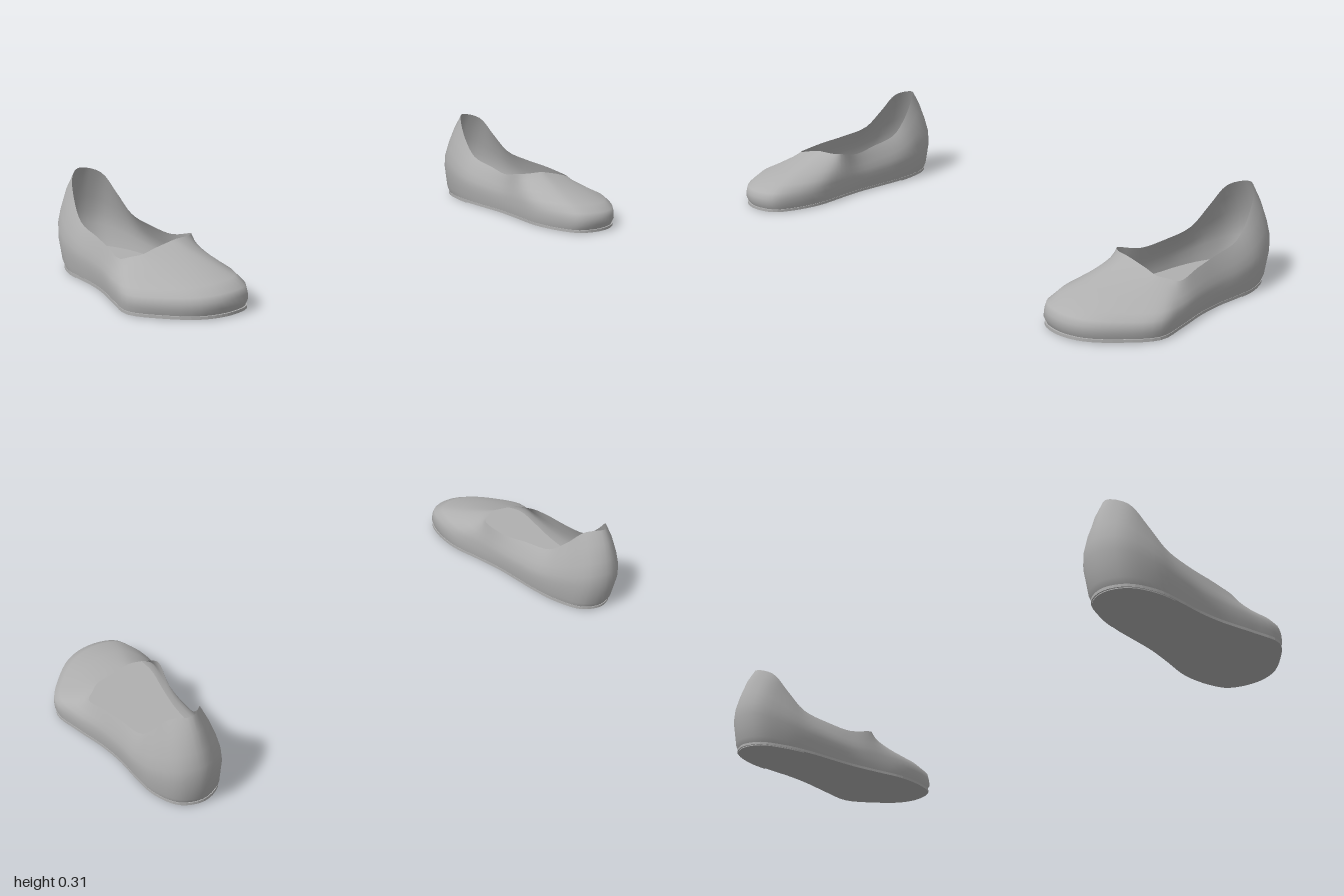
import * as THREE from 'three';

// Control points run toe -> outer side -> heel -> inner side, relative to the shoe's centre line.
// Widest outline of the shoe: x, z
const OUTLINE = [
  [-0.05, 0.42], [0.03, 0.4], [0.11, 0.325], [0.17, 0.23], [0.155, 0.12],
  [0.13, 0], [0.12, -0.1], [0.12, -0.2], [0.112, -0.3], [0.07, -0.39],
  [0, -0.42], [-0.07, -0.39], [-0.112, -0.3], [-0.13, -0.2], [-0.135, -0.1],
  [-0.14, 0], [-0.155, 0.1], [-0.175, 0.22], [-0.162, 0.33], [-0.13, 0.395],
];
// Edge of the foot opening: x, y, z
const RIM = [
  [-0.03, 0.163, 0.127], [0.02, 0.152, 0.129], [0.06, 0.141, 0.13], [0.088, 0.134, 0.11], [0.112, 0.128, 0.09],
  [0.105, 0.145, 0], [0.095, 0.157, -0.09], [0.088, 0.178, -0.2], [0.075, 0.235, -0.267], [0.05, 0.297, -0.322],
  [0, 0.312, -0.365], [-0.05, 0.297, -0.322], [-0.075, 0.235, -0.267], [-0.088, 0.178, -0.2], [-0.1, 0.157, -0.09],
  [-0.118, 0.147, 0], [-0.135, 0.165, 0.085], [-0.11, 0.166, 0.108], [-0.08, 0.168, 0.12], [-0.055, 0.168, 0.126],
];
// Rise and inward lean of the upper between outline and rim, for toe and heel
const RISE = [0, 0.15, 0.3, 0.46, 0.63, 0.84, 1];
const LEAN_TOE = [0, 0.005, 0.03, 0.17, 0.48, 0.81, 1];
const LEAN_HEEL = [0, 0, 0, 0.03, 0.22, 0.57, 1];

const STEPS = 80;
const lerp = THREE.MathUtils.lerp;
// 0 at the heel, 1 at the toe
const toeward = (z) => THREE.MathUtils.smoothstep(z, -0.35, 0.25);

function smoothLoop(points) {
  const curve = new THREE.CatmullRomCurve3(points, true, 'centripetal');
  return Array.from({ length: STEPS }, (_, i) => curve.getPoint(i / STEPS));
}

// Outline scaled separately at heel and toe
function outlineRing(y, heel, toe) {
  return OUTLINE.map(([x, z]) => {
    const k = lerp(heel, toe, toeward(z));
    return new THREE.Vector3(x * k, y, z * k);
  });
}

// Upper: lofted rings from the welt to the opening
function upperGeometry(side) {
  const rings = [outlineRing(0.01, 0.93, 0.975)];
  RISE.forEach((rise, r) => {
    rings.push(OUTLINE.map(([x, z], i) => {
      const t = toeward(z);
      const lean = lerp(LEAN_HEEL[r], LEAN_TOE[r], t);
      const k = lerp([0.96, 0.98][r] ?? 1, 1, t);
      const [rx, ry, rz] = RIM[i];
      return new THREE.Vector3(lerp(x * k, rx, lean), lerp(0.03, ry, rise), lerp(z * k, rz, lean));
    }));
  });
  const positions = [], index = [];
  rings.forEach((ring, j) => {
    smoothLoop(ring).forEach((p, i) => {
      positions.push(p.x * side, p.y, p.z);
      if (j === rings.length - 1) return;
      const a = j * STEPS + i, b = j * STEPS + (i + 1) % STEPS;
      const c = a + STEPS, d = b + STEPS;
      if (side > 0) index.push(a, b, d, a, d, c);
      else index.push(a, d, b, a, c, d);
    });
  });
  const g = new THREE.BufferGeometry();
  g.setAttribute('position', new THREE.Float32BufferAttribute(positions, 3));
  g.setIndex(index);
  g.computeVertexNormals();
  return g;
}

// Flat slab following the outline, optionally only behind maxZ
function slabGeometry(side, top, depth, heel, toe, maxZ = 1) {
  const pts = smoothLoop(outlineRing(0, heel, toe))
    .filter((p) => p.z <= maxZ)
    .map((p) => new THREE.Vector2(p.x * side, p.z));
  const g = new THREE.ExtrudeGeometry(new THREE.Shape(pts), { depth, bevelEnabled: false });
  g.rotateX(Math.PI / 2);
  g.translate(0, top, 0);
  return g;
}

export function createModel() {
  const leather = new THREE.MeshStandardMaterial({ color: 0xb0b0b0, side: THREE.DoubleSide });
  leather.name = 'grey leather';

  function shoe(side) {
    const g = new THREE.Group();
    g.name = side > 0 ? 'leftShoe' : 'rightShoe';
    const add = (name, geometry) => {
      const m = new THREE.Mesh(geometry, leather);
      m.name = name;
      g.add(m);
    };
    add('upper', upperGeometry(side));
    add('insole', slabGeometry(side, 0.04, 0.008, 0.95, 0.96));
    add('sole', slabGeometry(side, 0.012, 0.009, 0.94, 0.99));
    add('heelPad', slabGeometry(side, 0.003, 0.003, 0.93, 0.98, -0.2));
    g.position.x = 0.83 * side;
    return g;
  }

  const model = new THREE.Group();
  model.name = 'pairOfShoes';
  model.add(shoe(1), shoe(-1));
  return model;
}
